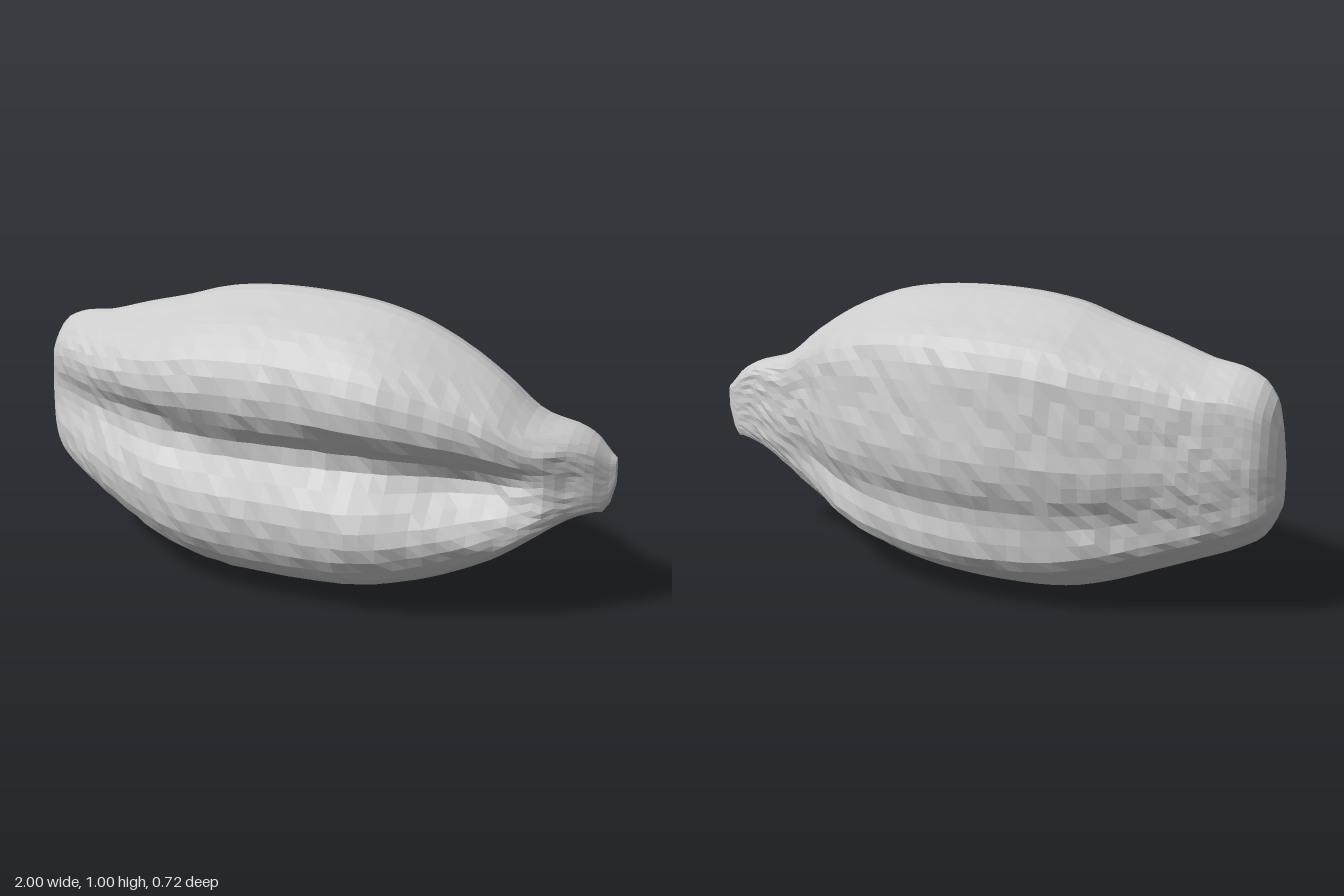
import * as THREE from 'three';

// Stations along the length: x, bottom y, top y, back z, front z, middle z, groove depth
const stations = [
  [-1.0, 0.40, 0.56, -0.015, 0.015, 0.0, 0.0],
  [-0.98, 0.35, 0.70, -0.055, 0.05, 0.0, 0.015],
  [-0.95, 0.30, 0.77, -0.10, 0.085, 0.0, 0.02],
  [-0.88, 0.25, 0.82, -0.14, 0.135, 0.0, 0.03],
  [-0.75, 0.19, 0.845, -0.19, 0.21, 0.0, 0.045],
  [-0.6, 0.125, 0.89, -0.24, 0.28, 0.0, 0.06],
  [-0.45, 0.062, 0.93, -0.295, 0.33, 0.0, 0.07],
  [-0.3, 0.018, 0.975, -0.33, 0.35, 0.0, 0.075],
  [0.0, 0.0, 0.995, -0.36, 0.35, 0.0, 0.08],
  [0.3, 0.03, 0.96, -0.31, 0.345, 0.0, 0.115],
  [0.5, 0.10, 0.88, -0.235, 0.285, 0.0, 0.12],
  [0.65, 0.185, 0.785, -0.135, 0.235, 0.0, 0.09],
  [0.76, 0.27, 0.69, -0.105, 0.195, -0.01, 0.055],
  [0.82, 0.315, 0.665, -0.095, 0.16, -0.025, 0.03],
  [0.88, 0.35, 0.65, -0.08, 0.1, -0.035, 0.015],
  [0.94, 0.37, 0.615, -0.07, 0.04, -0.045, 0.0],
  [0.98, 0.385, 0.57, -0.06, -0.01, -0.045, 0.0],
  [1.0, 0.46, 0.55, -0.055, -0.03, -0.045, 0.0],
];

// Cross-section outline: depth (front positive), height; from top over the front
const outline = [
  [0.05, 1], [0.36, 0.92], [0.68, 0.8], [0.93, 0.62], [1, 0.4], [0.98, 0],
  [1, -0.38], [0.94, -0.6], [0.74, -0.8], [0.4, -0.91],
  [-0.04, -1], [-0.5, -0.83], [-0.82, -0.68], [-0.89, -0.4], [-1, 0],
  [-0.95, 0.35], [-0.88, 0.65], [-0.77, 0.76], [-0.45, 0.87],
];

// Small repeatable bumps for the uneven skin
const bump = (i, j) => {
  const s = Math.sin(i * 12.9898 + j * 78.233) * 43758.5453;
  return (s - Math.floor(s) - 0.5) * 0.012;
};

function podGeometry(rows, sides) {
  const times = stations.map((s) => s[0]);
  const values = stations.flatMap((s) => s.slice(1));
  const along = new THREE.CubicInterpolant(times, values, 6, new Array(6));
  const ring = new THREE.CatmullRomCurve3(
    outline.map(([z, y]) => new THREE.Vector3(0, y, z)), true);
  const section = ring.getSpacedPoints(sides).slice(0, sides);
  const positions = [];
  const index = [];

  for (let i = 0; i <= rows; i++) {
    const t = i / rows;
    const x = THREE.MathUtils.lerp(-Math.cos(Math.PI * t), 2 * t - 1, 0.4);
    const [low, high, back, front, mid, groove] = along.evaluate(x);
    const grooveY = 0.515 - 0.055 * x + 0.012 * Math.sin(9 * x);
    const edge = Math.min(1, 6 * t * (1 - t));
    // The section turns boxy towards the stem stub, most of all underneath
    const boxy = THREE.MathUtils.smoothstep(x, 0.5, 0.82);
    section.forEach((p, j) => {
      const y = (low + high) / 2 + p.y * (high - low) / 2;
      const power = 1 - boxy * (p.y < 0 ? 0.6 : 0.35);
      const pz = Math.sign(p.z) * Math.abs(p.z) ** power;
      let z = mid + pz * (pz > 0 ? front - mid : mid - back);
      // Lengthwise furrow in the front, steep above and gentle below;
      // faint hollow low on the back
      const width = y > grooveY ? 0.09 : 0.12;
      if (pz > 0) z -= groove * Math.exp(-(((y - grooveY) / width) ** 2));
      else z += 0.2 * groove * Math.exp(-(((y - 0.33) / 0.06) ** 2));
      z += bump(i, j) * edge * Math.abs(pz);
      positions.push(x, y, z);
    });
  }

  for (let i = 0; i < rows; i++) {
    for (let j = 0; j < sides; j++) {
      const k = (j + 1) % sides;
      const a = i * sides + j, b = i * sides + k;
      const c = a + sides, d = b + sides;
      index.push(a, b, d, a, d, c);
    }
  }

  // Close both ends
  const last = rows * sides;
  const tip = positions.length / 3;
  positions.push(-1, 0.48, 0, 1, 0.505, -0.045);
  for (let j = 0; j < sides; j++) {
    const k = (j + 1) % sides;
    index.push(tip, k, j, tip + 1, last + j, last + k);
  }

  const geometry = new THREE.BufferGeometry();
  geometry.setAttribute('position', new THREE.Float32BufferAttribute(positions, 3));
  geometry.setIndex(index);
  geometry.computeVertexNormals();
  return geometry;
}

export function createModel() {
  const group = new THREE.Group();
  group.name = 'seedPod';
  const material = new THREE.MeshStandardMaterial({ color: 0xcccccc, flatShading: true });
  const pod = new THREE.Mesh(podGeometry(54, 56), material);
  pod.name = 'podWithStemStub';
  group.add(pod);
  return group;
}
